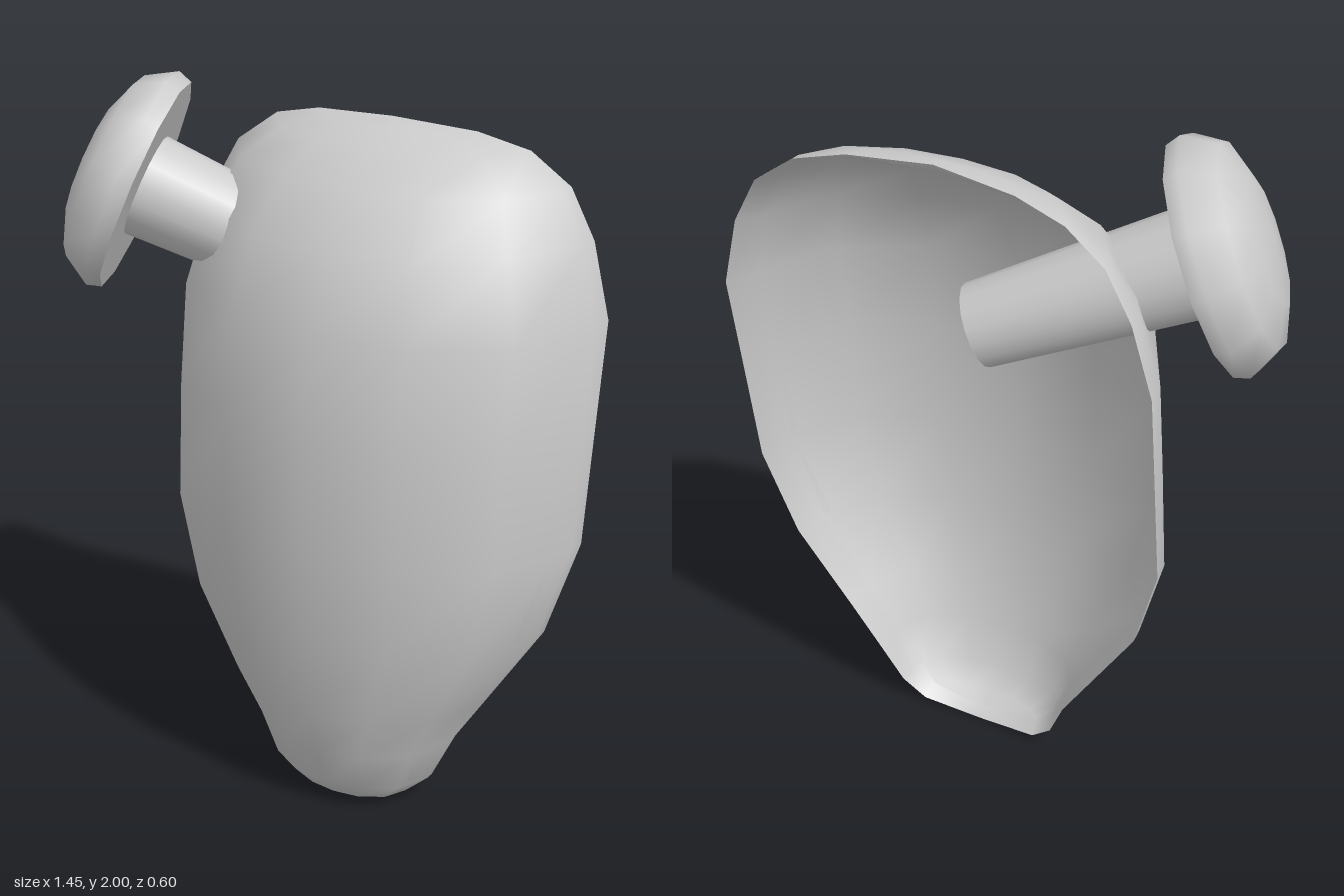
import * as THREE from 'three';
import { toCreasedNormals } from 'three/addons/utils/BufferGeometryUtils.js';

const material = new THREE.MeshStandardMaterial({ color: 0xcccccc, side: THREE.DoubleSide });

function addMesh(parent, name, geometry) {
  const mesh = new THREE.Mesh(geometry, material);
  mesh.name = name;
  parent.add(mesh);
}

// Hollow curved shell: each row is a closed loop, outer face then inner face
function shellGeometry() {
  // height, half width, front z, rim z
  const rows = [
    [0.01, 0, 0.01, -0.05], [0.03, 0.18, 0.055, -0.065], [0.09, 0.245, 0.105, -0.08],
    [0.22, 0.30, 0.15, -0.11], [0.36, 0.385, 0.19, -0.125], [0.6, 0.53, 0.225, -0.155],
    [0.87, 0.605, 0.245, -0.192], [1.2, 0.605, 0.24, -0.24], [1.47, 0.605, 0.205, -0.28],
    [1.67, 0.55, 0.125, -0.29], [1.8, 0.48, 0.01, -0.29], [1.88, 0.37, -0.09, -0.28],
    [1.915, 0.23, -0.17, -0.26], [1.93, 0, -0.21, -0.235],
  ];
  // across fraction, depth fraction of the rounded section
  const half = [[1, 0], [0.99, 0.13], [0.79, 0.62], [0.41, 0.92]];
  const section = [
    ...half.map(([u, d]) => [-u, d]), [0, 1],
    ...half.slice().reverse(),
  ];
  const centerX = 0.125;
  const positions = [];
  for (const [y, w, front, rim] of rows) {
    for (const [u, d] of section) {
      positions.push(centerX + u * w, y, rim + (front - rim) * d);
    }
    // the inner edge sits further forward, so the rim slopes inward
    const innerY = 0.97 + (y - 0.97) * 0.975;
    const innerRim = rim + Math.min(0.06, 0.35 * (front - rim));
    const innerFront = Math.max(innerRim + 0.004, front - 0.028);
    for (const [u, d] of section.slice().reverse()) {
      positions.push(centerX + u * w * 0.955, innerY, innerRim + (innerFront - innerRim) * d);
    }
  }
  const n = section.length * 2;
  const index = [];
  for (let j = 0; j < rows.length - 1; j++) {
    for (let i = 0; i < n; i++) {
      const a = j * n + i, b = j * n + (i + 1) % n;
      index.push(a, b, b + n, a, b + n, a + n);
    }
  }
  const geometry = new THREE.BufferGeometry();
  geometry.setAttribute('position', new THREE.Float32BufferAttribute(positions, 3));
  geometry.setIndex(index);
  return toCreasedNormals(geometry, 1.1);
}

export function createModel() {
  const model = new THREE.Group();
  model.name = 'shellWithPeg';
  addMesh(model, 'shell', shellGeometry());

  // Slanted peg through the shell; local +y runs from the cap to the open end
  const peg = new THREE.Group();
  peg.name = 'peg';
  peg.position.set(-0.485, 1.715, 0);
  peg.quaternion.setFromUnitVectors(
    new THREE.Vector3(0, 1, 0), new THREE.Vector3(1, -0.44, -0.36).normalize());
  model.add(peg);

  // Slightly tapered open tube
  const length = 0.6;
  const shaft = new THREE.CylinderGeometry(0.11, 0.14, length, 16, 1, true);
  shaft.translate(0, length / 2, 0);
  addMesh(peg, 'pegShaft', shaft);

  // Thick rounded cap with a flat underside
  const profile = [[0, -0.175], [0.16, -0.16], [0.26, -0.12], [0.308, -0.04], [0.295, 0], [0, 0]]
    .map(([r, y]) => new THREE.Vector2(r, y));
  addMesh(peg, 'pegCap', toCreasedNormals(new THREE.LatheGeometry(profile, 12), 1.1));

  return model;
}
